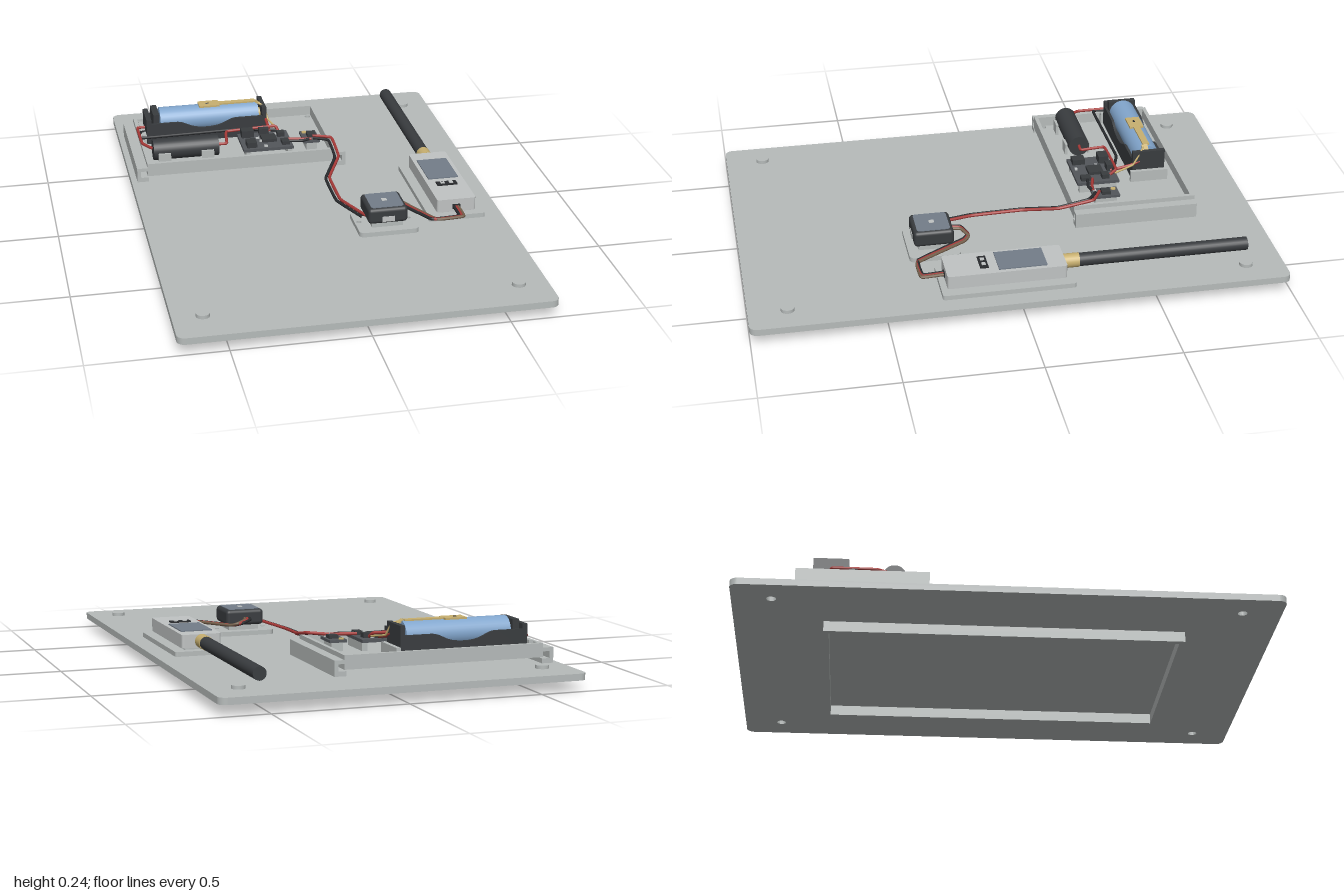
import * as THREE from 'three';
import { RoundedBoxGeometry } from 'three/addons/geometries/RoundedBoxGeometry.js';

const mat = (name, color) => {
  const m = new THREE.MeshStandardMaterial({ color });
  m.name = name;
  return m;
};

export function createModel() {
  const root = new THREE.Group();
  root.name = 'trackerAssembly';
  const grey = mat('printedGrey', 0xb6bbba);
  const pale = mat('caseGrey', 0xc0c3c3);
  const black = mat('blackPlastic', 0x393c3f);
  const dark = mat('wireBlack', 0x292b2e);
  const board = mat('boardGrey', 0x53565b);
  const blue = mat('cellBlue', 0x82a6cd);
  const gold = mat('gold', 0xc8b070);
  const red = mat('wireRed', 0xa83a38);
  const slate = mat('slate', 0x737d89);
  const brown = mat('wireBrown', 0x75604c);

  const add = (name, geo, m, parent = root) => {
    const mesh = new THREE.Mesh(geo, m);
    mesh.name = name;
    parent.add(mesh);
    return mesh;
  };
  const group = (name) => {
    const g = new THREE.Group();
    g.name = name;
    root.add(g);
    return g;
  };
  // box given by its limits on each axis
  const box = (name, m, x0, x1, y0, y1, z0, z1, parent) => {
    const mesh = add(name, new THREE.BoxGeometry(x1 - x0, y1 - y0, z1 - z0), m, parent);
    mesh.position.set((x0 + x1) / 2, (y0 + y1) / 2, (z0 + z1) / 2);
    return mesh;
  };
  // rounded rectangle slab lying flat, with optional round holes [x, z, r]
  const slab = (name, m, x0, x1, y0, y1, z0, z1, r, holes = [], parent) => {
    const s = new THREE.Shape();
    s.absarc(x1 - r, -z0 - r, r, 0, Math.PI / 2);
    s.absarc(x0 + r, -z0 - r, r, Math.PI / 2, Math.PI);
    s.absarc(x0 + r, -z1 + r, r, Math.PI, Math.PI * 1.5);
    s.absarc(x1 - r, -z1 + r, r, Math.PI * 1.5, Math.PI * 2);
    for (const [x, z, hr] of holes) {
      const h = new THREE.Path();
      h.absarc(x, -z, hr, 0, Math.PI * 2, true);
      s.holes.push(h);
    }
    const g = new THREE.ExtrudeGeometry(s, { depth: y1 - y0, bevelEnabled: false, curveSegments: 8 });
    g.rotateX(-Math.PI / 2).translate(0, y0, 0);
    return add(name, g, m, parent);
  };
  // four walls around a rectangle
  const frame = (name, m, x0, x1, y0, y1, z0, z1, t, parent) => {
    box(name, m, x0, x1, y0, y1, z0, z0 + t, parent);
    box(name, m, x0, x1, y0, y1, z1 - t, z1, parent);
    box(name, m, x0, x0 + t, y0, y1, z0 + t, z1 - t, parent);
    box(name, m, x1 - t, x1, y0, y1, z0 + t, z1 - t, parent);
  };
  const rod = (name, m, r, x0, x1, y, z, parent) => {
    const g = new THREE.CylinderGeometry(r, r, x1 - x0, 32).rotateZ(Math.PI / 2);
    add(name, g, m, parent).position.set((x0 + x1) / 2, y, z);
  };
  const wires = group('wires');
  const wire = (name, m, pts, r = 0.006) => {
    const curve = new THREE.CatmullRomCurve3(pts.map((p) => new THREE.Vector3(...p)), false, 'catmullrom', 0.12);
    add(name, new THREE.TubeGeometry(curve, pts.length * 10, r, 8), m, wires);
  };

  // base plate with corner caps over blind holes, and rim below
  const corners = [[-0.57, -0.855], [0.57, -0.855], [-0.57, 0.855], [0.57, 0.855]];
  slab('basePlate', grey, -0.68, 0.68, 0.04, 0.065, -1, 1, 0.03, corners.map(([x, z]) => [x, z, 0.018]));
  for (const [x, z] of corners) {
    add('cornerCap', new THREE.CylinderGeometry(0.025, 0.025, 0.013, 24), grey).position.set(x, 0.0715, z);
  }
  frame('bottomRim', grey, -0.4, 0.4, 0, 0.04, -0.67, 0.67, 0.02);

  // sliding tray between two C-shaped rails
  const tray = group('tray');
  slab('trayFloor', grey, -0.61, 0.15, 0.088, 0.1, -0.765, -0.295, 0.005,
    [[-0.587, -0.73, 0.012], [-0.587, -0.325, 0.012], [0.125, -0.735, 0.012]], tray);
  frame('trayWall', grey, -0.615, 0.155, 0.088, 0.14, -0.77, -0.29, 0.015, tray);
  for (const side of [-1, 1]) {
    const p = [[0, 0], [0.045, 0], [0.045, 0.058], [0, 0.058], [0, 0.044], [0.03, 0.044], [0.03, 0.018], [0, 0.018]];
    const s = new THREE.Shape(p.map(([x, y]) => new THREE.Vector2(side * x, y)));
    const g = new THREE.ExtrudeGeometry(s, { depth: 0.48, bevelEnabled: false });
    add('trayRail', g, grey, tray).position.set(side < 0 ? -0.612 : 0.147, 0.065, -0.77);
  }

  // cell holder with scooped sides
  const holder = group('cellHolder');
  box('holderBase', black, -0.58, -0.08, 0.1, 0.118, -0.71, -0.58, holder);
  const scoop = new THREE.Shape();
  scoop.moveTo(-0.58, 0.1);
  scoop.lineTo(-0.08, 0.1);
  scoop.lineTo(-0.08, 0.186);
  scoop.lineTo(-0.2, 0.186);
  scoop.bezierCurveTo(-0.25, 0.186, -0.25, 0.155, -0.33, 0.155);
  scoop.bezierCurveTo(-0.41, 0.155, -0.41, 0.186, -0.46, 0.186);
  scoop.lineTo(-0.58, 0.186);
  for (const z of [-0.71, -0.59]) {
    add('holderSide', new THREE.ExtrudeGeometry(scoop, { depth: 0.01, bevelEnabled: false }), black, holder).position.z = z;
  }
  box('holderEnd', black, -0.58, -0.56, 0.1, 0.205, -0.71, -0.58, holder);
  box('holderEnd', black, -0.55, -0.525, 0.1, 0.222, -0.7, -0.59, holder);
  box('holderEnd', black, -0.098, -0.08, 0.1, 0.222, -0.71, -0.58, holder);
  rod('cell', blue, 0.053, -0.52, -0.11, 0.177, -0.645, holder);
  rod('cellTip', gold, 0.02, -0.11, -0.098, 0.177, -0.645, holder);
  box('sensorTab', gold, -0.355, -0.27, 0.228, 0.235, -0.672, -0.615, holder);
  rod('sensorBead', dark, 0.006, -0.325, -0.313, 0.231, -0.643, holder);
  box('sensorStrip', gold, -0.27, -0.12, 0.229, 0.235, -0.656, -0.63, holder);
  box('sensorStripEnd', gold, -0.04, 0, -0.003, 0.003, -0.012, 0.012, holder).position.set(-0.102, 0.222, -0.635);
  holder.children.at(-1).rotation.z = -0.6;
  for (const [x0, x1] of [[-0.6, -0.582], [-0.078, -0.062]]) box('holderStop', grey, x0, x1, 0.1, 0.145, -0.72, -0.57, tray);

  // black cylinder with four clips
  rod('capacitor', black, 0.042, -0.577, -0.312, 0.146, -0.415, tray);
  for (const x of [-0.56, -0.385]) {
    for (const z of [-0.466, -0.373]) box('capacitorClip', grey, x, x + 0.05, 0.1, 0.145, z, z + 0.01, tray);
  }

  // main and small circuit boards: chips as [x, z, width, depth, height]
  const boards = group('circuitBoards');
  for (const x of [-0.205, -0.035]) box('boardPost', grey, x, x + 0.02, 0.1, 0.132, -0.5, -0.35, boards);
  box('mainBoard', board, -0.217, -0.012, 0.132, 0.144, -0.51, -0.342, boards);
  const chips = [[-0.18, -0.48, 0.05, 0.04, 0.03], [-0.1, -0.43, 0.06, 0.06, 0.012], [-0.18, -0.38, 0.04, 0.05, 0.022],
    [-0.04, -0.38, 0.03, 0.04, 0.014], [-0.11, -0.49, 0.04, 0.025, 0.026], [-0.045, -0.46, 0.03, 0.03, 0.018]];
  for (const [x, z, w, d, h] of chips) box('chip', black, x - w / 2, x + w / 2, 0.144, 0.144 + h, z - d / 2, z + d / 2, boards);
  for (const [x, z] of [[-0.14, -0.42], [-0.13, -0.365], [-0.15, -0.45], [-0.07, -0.48]]) {
    box('solderPad', pale, x, x + 0.014, 0.144, 0.15, z, z + 0.01, boards);
  }
  box('smallBoardPost', grey, 0.05, 0.095, 0.1, 0.134, -0.475, -0.39, boards);
  box('smallBoard', board, 0.038, 0.105, 0.134, 0.144, -0.485, -0.38, boards);
  box('smallChip', black, 0.06, 0.095, 0.144, 0.157, -0.45, -0.415, boards);
  add('boardEyelet', new THREE.CylinderGeometry(0.01, 0.01, 0.004, 16), gold, boards).position.set(0.055, 0.146, -0.468);
  for (const x of [0.05, 0.085]) box('solderPad', pale, x, x + 0.012, 0.144, 0.148, -0.4, -0.388, boards);

  // square receiver on its pad
  const receiver = group('receiver');
  slab('receiverPad', grey, 0.1, 0.33, 0.065, 0.083, 0.18, 0.375, 0.02, [[0.118, 0.277, 0.01], [0.308, 0.277, 0.01]], receiver);
  box('receiverStand', grey, 0.155, 0.275, 0.083, 0.104, 0.22, 0.335, receiver);
  add('receiverCase', new RoundedBoxGeometry(0.152, 0.062, 0.152, 3, 0.014), black, receiver).position.set(0.214, 0.134, 0.276);
  slab('receiverTop', slate, 0.151, 0.277, 0.163, 0.167, 0.213, 0.339, 0.012, [], receiver);
  box('receiverDot', pale, 0.204, 0.224, 0.166, 0.169, 0.266, 0.286, receiver);
  box('receiverPort', pale, 0.19, 0.238, 0.112, 0.133, 0.35, 0.354, receiver);

  // transmitter with screen, buttons and antenna
  const radio = group('transmitter');
  slab('transmitterPad', grey, 0.39, 0.61, 0.065, 0.083, -0.2, 0.295, 0.01, [], radio);
  box('transmitterStand', grey, 0.44, 0.565, 0.083, 0.092, -0.16, 0.26, radio);
  slab('transmitterCase', pale, 0.425, 0.577, 0.09, 0.141, -0.172, 0.273, 0.01, [], radio);
  box('screen', slate, 0.44, 0.56, 0.14, 0.145, -0.1, 0.08, radio);
  box('buttonPanel', dark, 0.46, 0.54, 0.14, 0.146, 0.115, 0.146, radio);
  for (const x of [0.475, 0.509]) box('button', pale, x, x + 0.016, 0.145, 0.149, 0.123, 0.138, radio);
  box('transmitterPort', dark, 0.485, 0.515, 0.102, 0.12, 0.27, 0.277, radio);
  const antenna = (name, m, r, z0, z1) =>
    add(name, new THREE.CylinderGeometry(r, r, z1 - z0, 24).rotateX(Math.PI / 2), m, radio).position.set(0.5, 0.115, (z0 + z1) / 2);
  antenna('antenna', black, 0.025, -0.875, -0.23);
  antenna('antennaCollar', gold, 0.027, -0.23, -0.172);

  // wiring inside the tray
  wire('cellRedWire', red, [[-0.57, 0.15, -0.645], [-0.612, 0.15, -0.64], [-0.612, 0.15, -0.48], [-0.575, 0.15, -0.415]]);
  wire('cellBlackWire', dark, [[-0.57, 0.14, -0.625], [-0.606, 0.146, -0.6], [-0.605, 0.146, -0.542], [-0.2, 0.15, -0.542], [-0.05, 0.155, -0.49]]);
  wire('capacitorRedWire', red, [[-0.315, 0.148, -0.415], [-0.275, 0.148, -0.415], [-0.26, 0.16, -0.507], [-0.06, 0.168, -0.507], [-0.05, 0.15, -0.48]]);
  wire('cellEndWire', red, [[-0.085, 0.18, -0.61], [-0.083, 0.165, -0.57], [-0.083, 0.15, -0.49]]);
  wire('sensorWire', gold, [[-0.11, 0.228, -0.63], [-0.085, 0.215, -0.61], [-0.075, 0.17, -0.58], [-0.05, 0.155, -0.5]], 0.004);
  wire('boardRedWire', red, [[-0.03, 0.15, -0.405], [0.03, 0.15, -0.39], [0.07, 0.15, -0.385]]);
  wire('boardBlackWire', dark, [[-0.03, 0.15, -0.385], [0.03, 0.15, -0.375], [0.06, 0.15, -0.385]]);
  // supply pair from tray to receiver
  for (const [name, m, d, h] of [['supplyRedWire', red, 0.007, 0.004], ['supplyBlackWire', dark, -0.008, 0]]) {
    wire(name, m, [[0.08, 0.15 + h, -0.4 - d], [0.142 + d, 0.153 + h, -0.36 - d], [0.142 + d, 0.13 + h, -0.23],
      [0.077 + d, 0.1 + h, -0.1], [0.077 + d, 0.096 + h, 0.1], [0.137 + d, 0.108 + h, 0.29]]);
  }
  // signal bundle from receiver to transmitter
  for (const [name, m, d] of [['signalBrownWire', brown, 0.01], ['signalRedWire', red, 0], ['signalBlackWire', dark, -0.01]]) {
    wire(name, m, [[0.205 + d, 0.13, 0.21], [0.215 + d, 0.13, 0.165], [0.255 + d, 0.12, 0.142], [0.28 + d, 0.112, 0.165],
      [0.39 + d, 0.106, 0.355 + d / 3], [0.498 + d * 0.8, 0.108, 0.355 + d / 3], [0.498 + d * 0.8, 0.111, 0.272]]);
  }
  return root;
}
